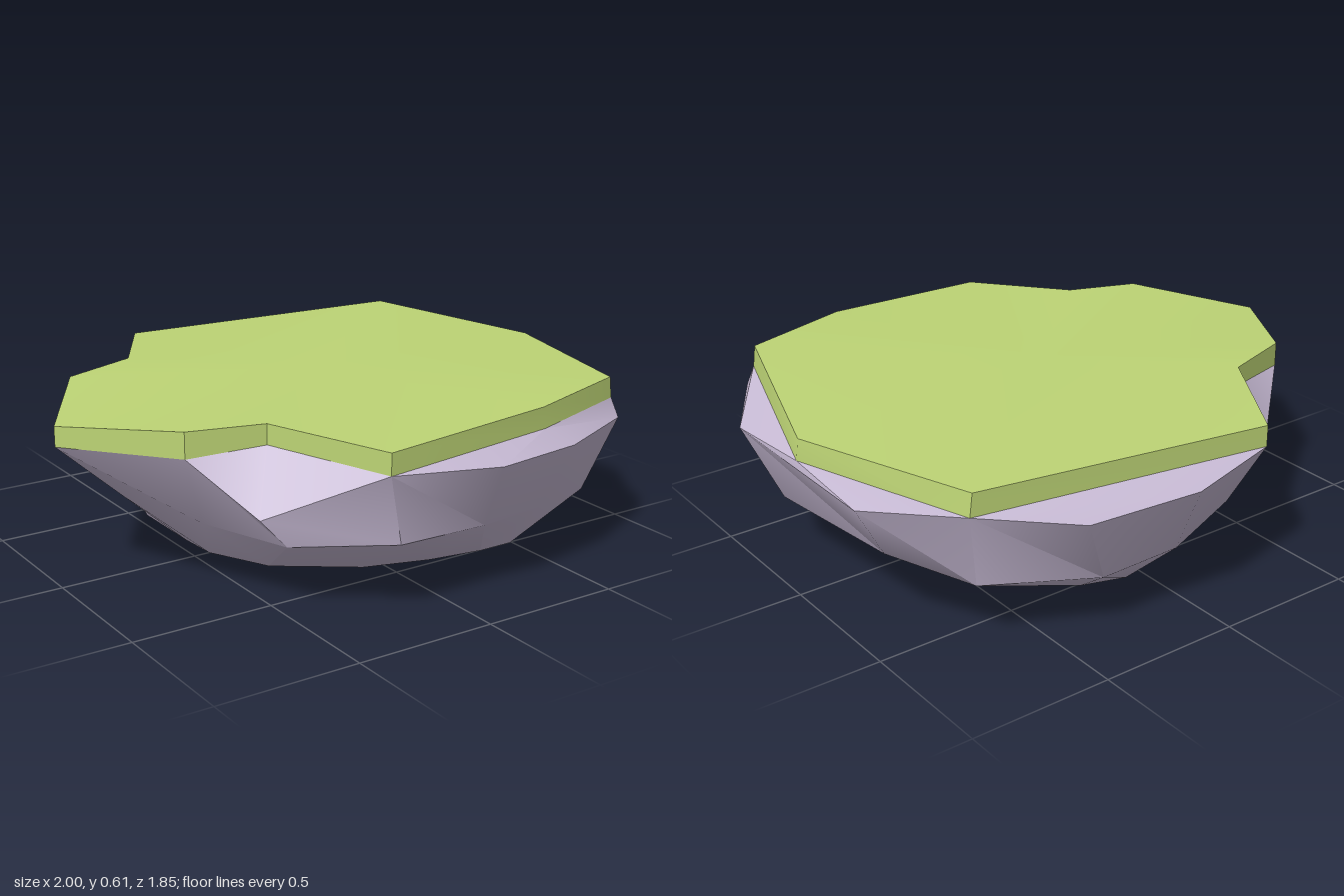
import * as THREE from 'three';
import { toCreasedNormals } from 'three/addons/utils/BufferGeometryUtils.js';

// Skins a stack of closed rings, listed from top to bottom; repeated points collapse to triangles.
function skin(rings, crease) {
  const pos = [];
  const same = (a, b) => a.every((v, k) => Math.abs(v - b[k]) < 1e-6);
  const tri = (a, b, c) => {
    if (!same(a, b) && !same(b, c) && !same(a, c)) pos.push(...a, ...b, ...c);
  };
  for (let r = 0; r < rings.length - 1; r++) {
    const up = rings[r], low = rings[r + 1];
    for (let i = 0; i < up.length; i++) {
      const j = (i + 1) % up.length;
      tri(up[i], low[i], low[j]);
      tri(up[i], low[j], up[j]);
    }
  }
  const geo = new THREE.BufferGeometry();
  geo.setAttribute('position', new THREE.Float32BufferAttribute(pos, 3));
  return toCreasedNormals(geo, crease);
}

const point = (p, n) => Array(n).fill(p);

export function createModel() {
  const group = new THREE.Group();
  const grass = new THREE.MeshStandardMaterial({ color: 0xbdd475 });
  grass.name = 'grass green';
  const stone = new THREE.MeshStandardMaterial({ color: 0xc7bad4 });
  stone.name = 'lilac stone';

  // Turf outline: x, z, top height, bottom height
  const outline = [
    [-1, 0, 0.56, 0.49], [-0.74, 0.39, 0.6, 0.51], [-0.49, 0.47, 0.605, 0.535],
    [-0.28, 0.845, 0.575, 0.5], [0.35, 0.81, 0.605, 0.53], [0.76, 0.68, 0.61, 0.535],
    [0.985, -0.03, 0.58, 0.505], [0.78, -0.7, 0.6, 0.52], [-0.27, -0.85, 0.58, 0.505],
    [-0.49, -0.475, 0.6, 0.53], [-0.76, -0.385, 0.595, 0.51],
  ];
  const top = outline.map(([x, z, t]) => [x, t, z]);
  // The underside flares slightly on the left
  const under = outline.map(([x, z, , b]) => [x > 0 ? x + 0.01 : x, b, z]);
  const n = outline.length;
  const turf = new THREE.Mesh(
    skin([point([0, 0.605, 0], n), top, under, point([0, 0.52, 0], n)], 0.6), grass);
  turf.name = 'turf';

  // Stone ledge follows the turf underside, then steps out to a rim and tapers to a low keel
  const ledge = [0, 1, 2, 3, 4, 4, 5, 6, 6, 7, 7, 8, 8, 9, 10].map((i) => under[i]);
  const rim = [
    [-1, 0.49, 0], [-0.74, 0.51, 0.39], [-0.58, 0.33, 0.57], [-0.28, 0.5, 0.845],
    [0.1, 0.48, 0.92], [0.45, 0.47, 0.855], [0.79, 0.465, 0.7], [1, 0.48, 0.35],
    [1, 0.48, -0.39], [0.79, 0.52, -0.7], [0.49, 0.48, -0.89], [0.08, 0.48, -0.925],
    [-0.27, 0.505, -0.85], [-0.51, 0.39, -0.61], [-0.76, 0.51, -0.385],
  ];
  const belly = [
    [-0.77, 0.28, 0], [-0.65, 0.26, 0.33], [-0.5, 0.235, 0.6], [-0.22, 0.255, 0.82],
    [0.12, 0.245, 0.81], [0.42, 0.22, 0.73], [0.73, 0.185, 0.6], [0.89, 0.215, 0.28],
    [0.89, 0.285, -0.37], [0.73, 0.24, -0.64], [0.36, 0.215, -0.8], [0.06, 0.22, -0.8],
    [-0.25, 0.25, -0.7], [-0.42, 0.24, -0.54], [-0.64, 0.27, -0.33],
  ];
  const foot = [
    [-0.53, 0.065, 0], [-0.52, 0.065, 0.14], [-0.42, 0.07, 0.36], [-0.16, 0.065, 0.53],
    [0.08, 0.055, 0.58], [0.28, 0.05, 0.6], [0.41, 0.05, 0.6], [0.6, 0.085, 0.18],
    [0.6, 0.1, -0.2], [0.5, 0.12, -0.55], [0.3, 0.075, -0.61], [0.1, 0.03, -0.6],
    [-0.12, 0.06, -0.54], [-0.3, 0.085, -0.45], [-0.53, 0.065, -0.29],
  ];
  const keel = point([0.44, 0, 0.05], rim.length);
  const rock = new THREE.Mesh(skin([ledge, rim, belly, foot, keel], 0.65), stone);
  rock.name = 'rock';

  group.add(turf, rock);
  group.name = 'grassyRock';
  return group;
}
